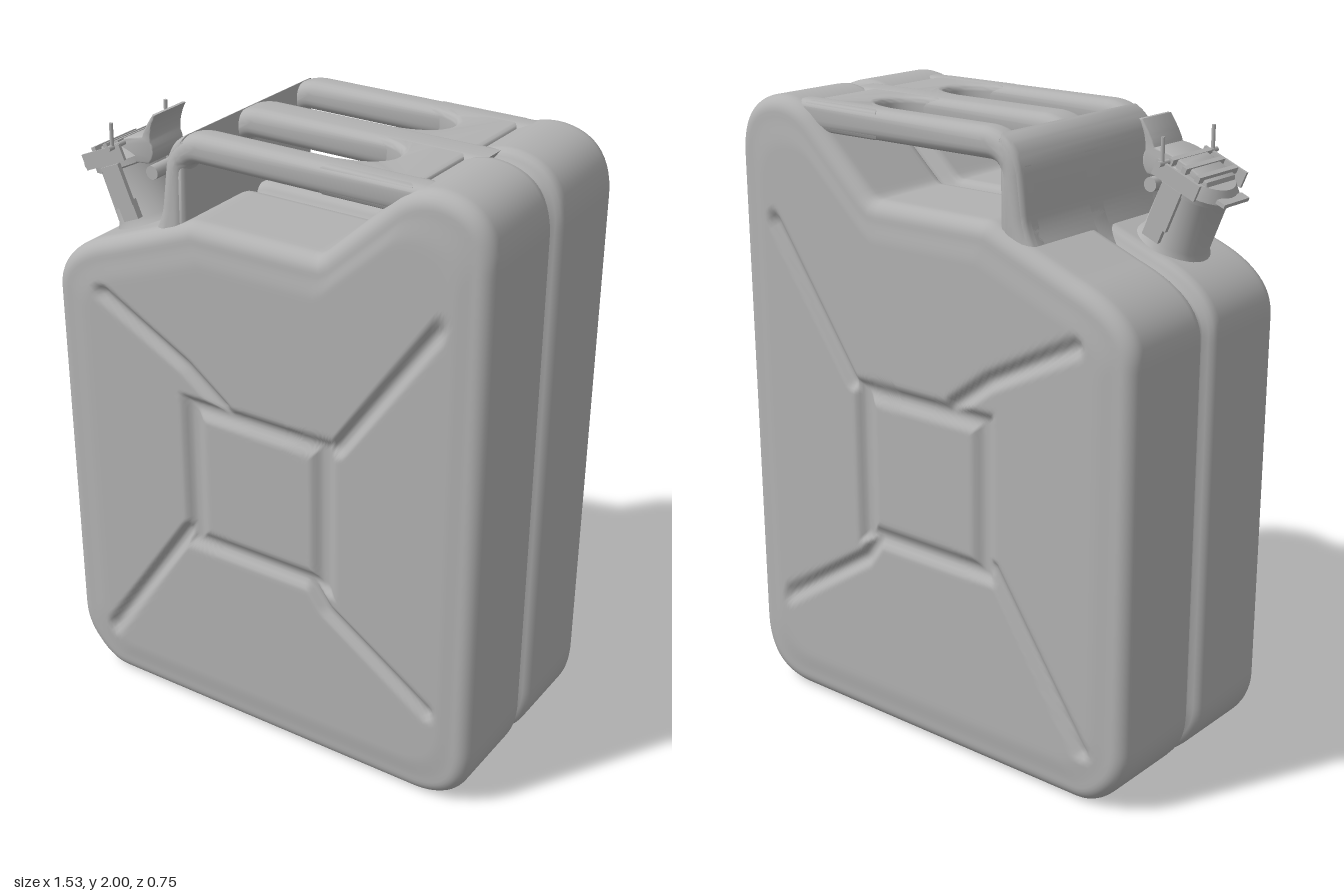
import * as THREE from 'three';
import { toCreasedNormals } from 'three/addons/utils/BufferGeometryUtils.js';

const paint = new THREE.MeshStandardMaterial({ color: 0xb2b2b2 });
paint.name = 'grey paint';
const smooth = THREE.MathUtils.smoothstep;

function add(parent, name, geometry, x = 0, y = 0, z = 0) {
  const mesh = new THREE.Mesh(geometry, paint);
  mesh.name = name;
  mesh.position.set(x, y, z);
  parent.add(mesh);
  return mesh;
}

// Rounded extrusion centred on its depth; the bevel stays inside the outline
function slab(shape, width, bevel) {
  const geo = new THREE.ExtrudeGeometry(shape, {
    depth: width - 2 * bevel, bevelThickness: bevel, bevelSize: bevel,
    bevelOffset: -bevel, bevelSegments: 5, curveSegments: 10,
  });
  geo.translate(0, 0, bevel - width / 2);
  return toCreasedNormals(geo, 0.75);
}

// Side outline of the can
function canOutline() {
  const s = new THREE.Shape();
  s.moveTo(-0.58, 0);
  s.lineTo(0.57, 0);
  s.quadraticCurveTo(0.755, 0.01, 0.76, 0.21);
  s.lineTo(0.765, 1.82);
  s.quadraticCurveTo(0.755, 1.99, 0.59, 2);
  s.quadraticCurveTo(0.51, 2, 0.45, 1.95);
  s.lineTo(0.21, 1.73);
  s.lineTo(-0.24, 1.73);
  s.lineTo(-0.55, 1.61);
  s.quadraticCurveTo(-0.765, 1.54, -0.765, 1.4);
  s.lineTo(-0.765, 0.21);
  s.quadraticCurveTo(-0.765, 0.13, -0.71, 0.07);
  s.quadraticCurveTo(-0.65, 0, -0.58, 0);
  return s;
}

// Pressed grooves running from the corners to the middle
const grooves = [
  [-0.57, 1.43, -0.26, 1.265], [-0.26, 1.265, -0.12, 1.16], [0.61, 1.61, 0.29, 1.15],
  [-0.61, 0.18, -0.27, 0.68], [0.61, 0.33, 0.25, 0.57], [0.25, 0.57, 0.2, 0.64],
];
function pressedDepth(x, y) {
  let depth = 0;
  for (const [ax, ay, bx, by] of grooves) {
    const dx = bx - ax, dy = by - ay;
    const t = THREE.MathUtils.clamp(((x - ax) * dx + (y - ay) * dy) / (dx * dx + dy * dy), 0, 1);
    depth = Math.max(depth, 1 - smooth(Math.hypot(x - ax - t * dx, y - ay - t * dy), 0.004, 0.035));
  }
  // Sunken square frame with a raised middle panel
  const box = (h, k) => Math.max(Math.abs(x) - h, Math.abs(y - 0.895) - k);
  const frame = (1 - smooth(box(0.28, 0.275), -0.03, 0.005)) * smooth(box(0.2, 0.205), -0.01, 0.03);
  return 0.02 * Math.max(depth, frame);
}

// Whole can as rings: front face, rounded edge, middle seam, rounded edge, back face
function canGeometry() {
  const N = 300, CAP = 70, R = 0.05, EDGE = 0.366, cx = 0.05, cy = 0.9;
  const pts = canOutline().getSpacedPoints(N).slice(0, N);
  const normals = pts.map((p, i) => {
    const a = pts[(i + N - 1) % N], b = pts[(i + 1) % N];
    return new THREE.Vector2(b.y - a.y, a.x - b.x).normalize();
  });
  const inset = (i, d) => [pts[i].x - normals[i].x * d, pts[i].y - normals[i].y * d];

  const half = [];
  for (let k = 0; k < CAP; k++) half.push({ t: k / CAP });
  for (let k = 0; k <= 7; k++) {
    const a = (k / 7) * Math.PI / 2;
    half.push({ d: R * (1 - Math.sin(a)), z: EDGE - R * (1 - Math.cos(a)) });
  }
  for (const [d, z] of [[0, 0.3], [0, 0.06], [0.001, 0.045], [0.008, 0.033], [0.02, 0.025], [0.036, 0.018], [0.042, 0.008]])
    half.push({ d, z });
  const rings = [
    ...half.map(r => ({ ...r, side: 1 })),
    ...half.slice().reverse().map(r => ({ ...r, side: -1 })),
  ];

  const position = [], index = [];
  for (const ring of rings) {
    for (let i = 0; i < N; i++) {
      let [x, y] = inset(i, ring.d ?? R);
      let z = ring.z;
      if (ring.t !== undefined) {
        x = cx + (x - cx) * ring.t;
        y = cy + (y - cy) * ring.t;
        z = EDGE + 0.007 * smooth(1 - ring.t, 0, 0.1) - pressedDepth(x, y);
      }
      position.push(x, y, z * ring.side);
    }
  }
  for (let r = 0; r < rings.length - 1; r++) {
    for (let i = 0; i < N; i++) {
      const j = (i + 1) % N, a = r * N + i, b = r * N + j;
      index.push(a, a + N, b + N, a, b + N, b);
    }
  }
  const geo = new THREE.BufferGeometry();
  geo.setAttribute('position', new THREE.Float32BufferAttribute(position, 3));
  geo.setIndex(index);
  geo.computeVertexNormals();
  return geo;
}

function buildHandles(parent) {
  // Hooked bar seen from the side
  const bar = new THREE.Shape();
  bar.moveTo(-0.44, 1.6);
  bar.quadraticCurveTo(-0.365, 1.68, -0.355, 1.76);
  bar.lineTo(-0.34, 1.87);
  bar.quadraticCurveTo(-0.32, 1.985, -0.2, 1.992);
  bar.lineTo(0.56, 1.992);
  bar.lineTo(0.5, 1.9);
  bar.lineTo(-0.22, 1.9);
  bar.quadraticCurveTo(-0.265, 1.9, -0.267, 1.85);
  bar.lineTo(-0.27, 1.6);
  add(parent, 'middleHandle', slab(bar, 0.135, 0.036));
  for (const s of [1, -1]) add(parent, s > 0 ? 'frontHandle' : 'backHandle', slab(bar, 0.1, 0.036), 0, 0, s * 0.29);

  // Wall closing the spout end of the handles
  const wall = new THREE.Shape();
  wall.moveTo(-0.44, 1.6);
  wall.quadraticCurveTo(-0.365, 1.68, -0.355, 1.76);
  wall.lineTo(-0.34, 1.87);
  wall.quadraticCurveTo(-0.325, 1.955, -0.262, 1.98);
  wall.lineTo(-0.265, 1.6);
  add(parent, 'handleEndWall', slab(wall, 0.67, 0.025));

  // Bridge with two rounded openings where the bars meet the shoulder
  const bridge = new THREE.Shape();
  bridge.moveTo(0.2, -0.335);
  bridge.lineTo(0.5, -0.335);
  bridge.lineTo(0.5, 0.335);
  bridge.lineTo(0.2, 0.335);
  for (const c of [0.153, -0.153]) {
    bridge.lineTo(0.2, c + 0.095);
    bridge.bezierCurveTo(0.3, c + 0.085, 0.34, c + 0.045, 0.34, c);
    bridge.bezierCurveTo(0.34, c - 0.045, 0.3, c - 0.085, 0.2, c - 0.095);
  }
  const geo = slab(bridge, 0.09, 0.02);
  geo.rotateX(Math.PI / 2);
  add(parent, 'handleBridge', geo, 0, 1.946, 0);
}

function buildSpout(parent) {
  const spout = new THREE.Group();
  spout.name = 'spout';
  spout.position.set(-0.52, 1.61, 0.165);
  spout.rotation.z = 0.4;
  parent.add(spout);

  const profile = [[0.14, -0.03], [0.118, 0.005], [0.103, 0.03], [0.1, 0.19], [0.113, 0.195], [0.113, 0.215], [0.09, 0.218]];
  const neck = new THREE.LatheGeometry(profile.map(p => new THREE.Vector2(...p)), 32);
  add(spout, 'neck', toCreasedNormals(neck, 0.6));
  add(spout, 'lid', toCreasedNormals(new THREE.CylinderGeometry(0.095, 0.122, 0.035, 32), 0.6), -0.005, 0.232, 0);
  add(spout, 'lidTab', new THREE.BoxGeometry(0.03, 0.012, 0.13), -0.12, 0.225, 0);

  // Bowed locking lever
  const lever = new THREE.Shape();
  lever.moveTo(-0.07, 0.24);
  lever.lineTo(0.13, 0.18);
  lever.quadraticCurveTo(0.17, 0.2, 0.165, 0.24);
  lever.quadraticCurveTo(0.18, 0.28, 0.222, 0.312);
  lever.lineTo(0.212, 0.316);
  lever.quadraticCurveTo(0.16, 0.285, 0.14, 0.262);
  lever.quadraticCurveTo(0.06, 0.285, -0.06, 0.262);
  add(spout, 'lever', slab(lever, 0.15, 0.004));
  for (const x of [-0.04, 0.01, 0.06])
    add(spout, 'leverRib', new THREE.BoxGeometry(0.016, 0.02, 0.2), x, 0.265, 0);

  // Clasp straps, ears and upright pin tips on both sides
  for (const s of [1, -1]) {
    add(spout, 'strap', new THREE.BoxGeometry(0.07, 0.13, 0.014), 0.015, 0.145, s * 0.112);
    add(spout, 'strapFoot', new THREE.BoxGeometry(0.06, 0.06, 0.022), 0.02, 0.065, s * 0.106);
    add(spout, 'ear', new THREE.BoxGeometry(0.16, 0.05, 0.01), 0.01, 0.24, s * 0.122);
    const tip = add(spout, 'pinTip', new THREE.CylinderGeometry(0.006, 0.006, 0.08, 8), 0.08, 0.295, s * 0.13);
    tip.rotation.z = -0.4;
  }
  const pin = add(spout, 'pin', new THREE.CylinderGeometry(0.008, 0.008, 0.3, 10), 0.066, 0.262, 0);
  pin.rotation.x = Math.PI / 2;
  const hinge = add(spout, 'hinge', new THREE.CylinderGeometry(0.022, 0.022, 0.12, 14), 0.115, 0.15, 0);
  hinge.rotation.x = Math.PI / 2;
}

export function createModel() {
  const model = new THREE.Group();
  model.name = 'fuelCan';
  add(model, 'canBody', canGeometry());
  buildHandles(model);
  buildSpout(model);
  return model;
}
